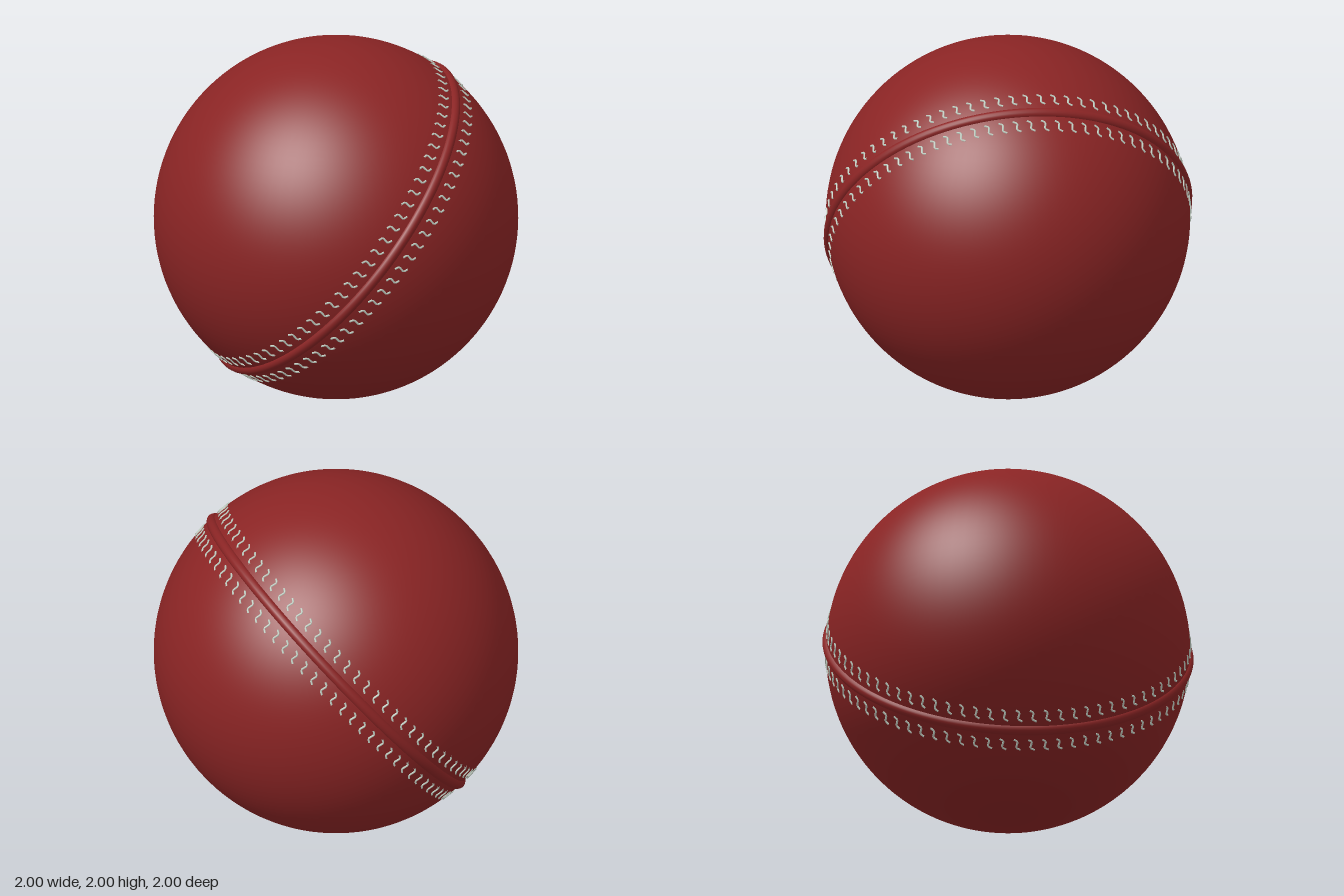
import * as THREE from 'three';
import { mergeGeometries } from 'three/addons/utils/BufferGeometryUtils.js';

const leather = new THREE.MeshStandardMaterial({ color: 0x8a2424 });
leather.name = 'red leather';
const thread = new THREE.MeshStandardMaterial({ color: 0xc4d0c4 });
thread.name = 'pale thread';

const STITCHES = 80;   // per row
const ROW_OFFSET = 0.088;

// Point on the ball's surface: angle round the seam, height across it
function onBall(angle, h, r) {
  const c = Math.sqrt(r * r - h * h);
  return new THREE.Vector3(c * Math.cos(angle), c * Math.sin(angle), h);
}

// One zigzag stitch lying on the surface
function stitch(angle, offset) {
  const zigzag = [[0.02, -0.032], [-0.004, -0.02], [0.004, 0.02], [-0.02, 0.032]];
  const path = new THREE.CurvePath();
  const pts = zigzag.map(([da, dh]) => onBall(angle + da, offset + dh, 1.001));
  for (let i = 0; i < pts.length - 1; i++) path.add(new THREE.LineCurve3(pts[i], pts[i + 1]));
  return new THREE.TubeGeometry(path, 9, 0.006, 5, false);
}

export function createModel() {
  const group = new THREE.Group();
  group.name = 'ball';

  const core = new THREE.Mesh(new THREE.SphereGeometry(1, 96, 64), leather);
  core.name = 'ballBody';

  // Raised seam round the ball, in the local XY plane
  const seam = new THREE.Mesh(new THREE.TorusGeometry(0.99, 0.03, 16, 128), leather);
  seam.name = 'seam';

  const tilted = new THREE.Group();
  tilted.name = 'seamAndStitching';
  tilted.add(seam);

  // A row of stitches on each side of the seam
  for (const side of [-1, 1]) {
    const parts = [];
    for (let i = 0; i < STITCHES; i++) parts.push(stitch((i / STITCHES) * Math.PI * 2, side * ROW_OFFSET));
    const row = new THREE.Mesh(mergeGeometries(parts), thread);
    row.name = side < 0 ? 'rearStitchRow' : 'frontStitchRow';
    row.material.side = THREE.DoubleSide;
    tilted.add(row);
  }

  // Tilt the seam plane
  const normal = new THREE.Vector3(-0.344, 0.63, 0.694).normalize();
  tilted.quaternion.setFromUnitVectors(new THREE.Vector3(0, 0, 1), normal);

  core.position.y = 1;
  tilted.position.y = 1;
  group.add(core, tilted);
  return group;
}
